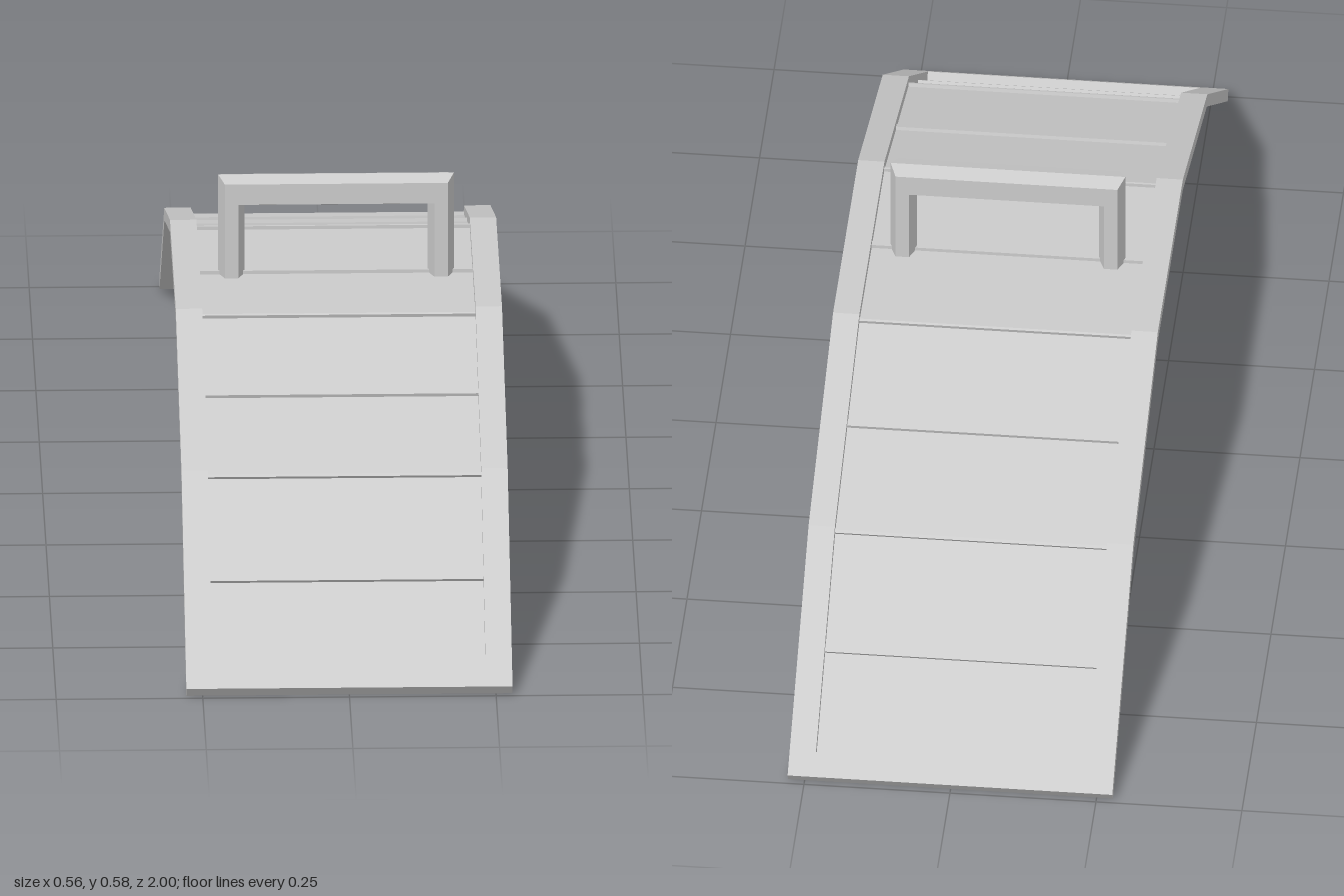
import * as THREE from 'three';

const material = new THREE.MeshStandardMaterial({ color: 0xcccccc, flatShading: true });

// Walking line of the ramp, [z, y] along the top of the frame
const KINKS = [[-1, 0.017], [-0.638, 0.279], [-0.216, 0.415], [0.216, 0.415], [0.638, 0.279], [1, 0.017]];
const RAIL_X = 0.278, INNER_X = 0.233, THICK = 0.021, INNER_Z = 0.964;

function heightAt(z) {
  const i = Math.max(1, KINKS.findIndex(k => k[0] >= z));
  const [a, b] = [KINKS[i - 1], KINKS[i]];
  return a[1] + (b[1] - a[1]) * (z - a[0]) / (b[0] - a[0]);
}

function normal(a, b) {
  return new THREE.Vector2(a.y - b.y, b.x - a.x).normalize();
}

// The line from z0 to z1, sunk by a depth with mitred bends
function sunkLine(z0, z1, depth) {
  const zs = [z0, ...KINKS.map(k => k[0]).filter(z => z > z0 + 1e-4 && z < z1 - 1e-4), z1];
  const pts = zs.map(z => new THREE.Vector2(z, heightAt(z)));
  return pts.map((p, i) => {
    const before = normal(pts[Math.max(i - 1, 0)], pts[Math.max(i, 1)]);
    const j = Math.min(i, pts.length - 2);
    const after = normal(pts[j], pts[j + 1]);
    const miter = before.clone().add(after).normalize();
    return p.clone().addScaledVector(miter, -depth / miter.dot(after));
  });
}

// A solid strip that follows the ramp between two depths
function strip(name, z0, z1, d0, d1, x0, x1) {
  const outline = [...sunkLine(z0, z1, d0), ...sunkLine(z0, z1, d1).reverse()];
  const geo = new THREE.ExtrudeGeometry(new THREE.Shape(outline), { depth: x1 - x0, bevelEnabled: false });
  geo.rotateY(-Math.PI / 2).translate(x1, 0, 0);
  const mesh = new THREE.Mesh(geo, material);
  mesh.name = name;
  return mesh;
}

// Hexagonal bar bent into a mitred arch
function handle() {
  const halfZ = 0.026, outerX = 0.201, topY = 0.578, footY = 0.39;
  const section = [[0, 0, 0], [0.011, 0.009, 1], [0.034, 0.046, 1], [0.045, 0.056, 0], [0.034, 0.046, -1], [0.011, 0.009, -1]];
  const stations = [[-1, false], [-1, true], [1, true], [1, false]];
  const pos = [], index = [], n = section.length;
  for (const [side, atTop] of stations)
    for (const [dx, dy, dz] of section)
      pos.push(side * (outerX - dx), atTop ? topY - dy : footY, dz * halfZ);
  for (let r = 0; r < 3; r++)
    for (let i = 0; i < n; i++) {
      const a = r * n + i, b = r * n + (i + 1) % n;
      index.push(a, b, a + n, b, b + n, a + n);
    }
  // Foot caps
  for (let i = 1; i < n - 1; i++) {
    index.push(0, i + 1, i);
    index.push(3 * n, 3 * n + i, 3 * n + i + 1);
  }
  // Wind every face outwards
  const geo = new THREE.BufferGeometry();
  geo.setAttribute('position', new THREE.Float32BufferAttribute(pos, 3));
  const at = i => new THREE.Vector3().fromArray(pos, 3 * i);
  const [p, q, s] = [at(index[3]), at(index[4]), at(index[5])];
  const face = q.sub(p).cross(s.sub(p));
  if (face.x > 0) index.reverse();
  geo.setIndex(index);
  const flat = geo.toNonIndexed();
  flat.computeVertexNormals();
  const mesh = new THREE.Mesh(flat, material);
  mesh.name = 'handle';
  return mesh;
}

export function createModel() {
  const model = new THREE.Group();
  model.name = 'archedRamp';

  // Frame: two bent rails and two end bars
  model.add(strip('leftRail', -1, 1, 0, THICK, INNER_X, RAIL_X));
  model.add(strip('rightRail', -1, 1, 0, THICK, -RAIL_X, -INNER_X));
  model.add(strip('frontEndBar', INNER_Z, 1, 0, THICK, -INNER_X, INNER_X));
  model.add(strip('backEndBar', -1, -INNER_Z, 0, THICK, -INNER_X, INNER_X));

  // Thin sunken deck
  model.add(strip('deck', -INNER_Z, INNER_Z, 0.0165, 0.0185, -INNER_X, INNER_X));

  // Cross slats
  for (const z of [0, 0.216, 0.424, 0.638, 0.81])
    for (const side of z ? [-1, 1] : [1])
      model.add(strip('slat', side * z - 0.006, side * z + 0.006, 0.0105, 0.0205, -INNER_X, INNER_X));

  model.add(handle());
  return model;
}
